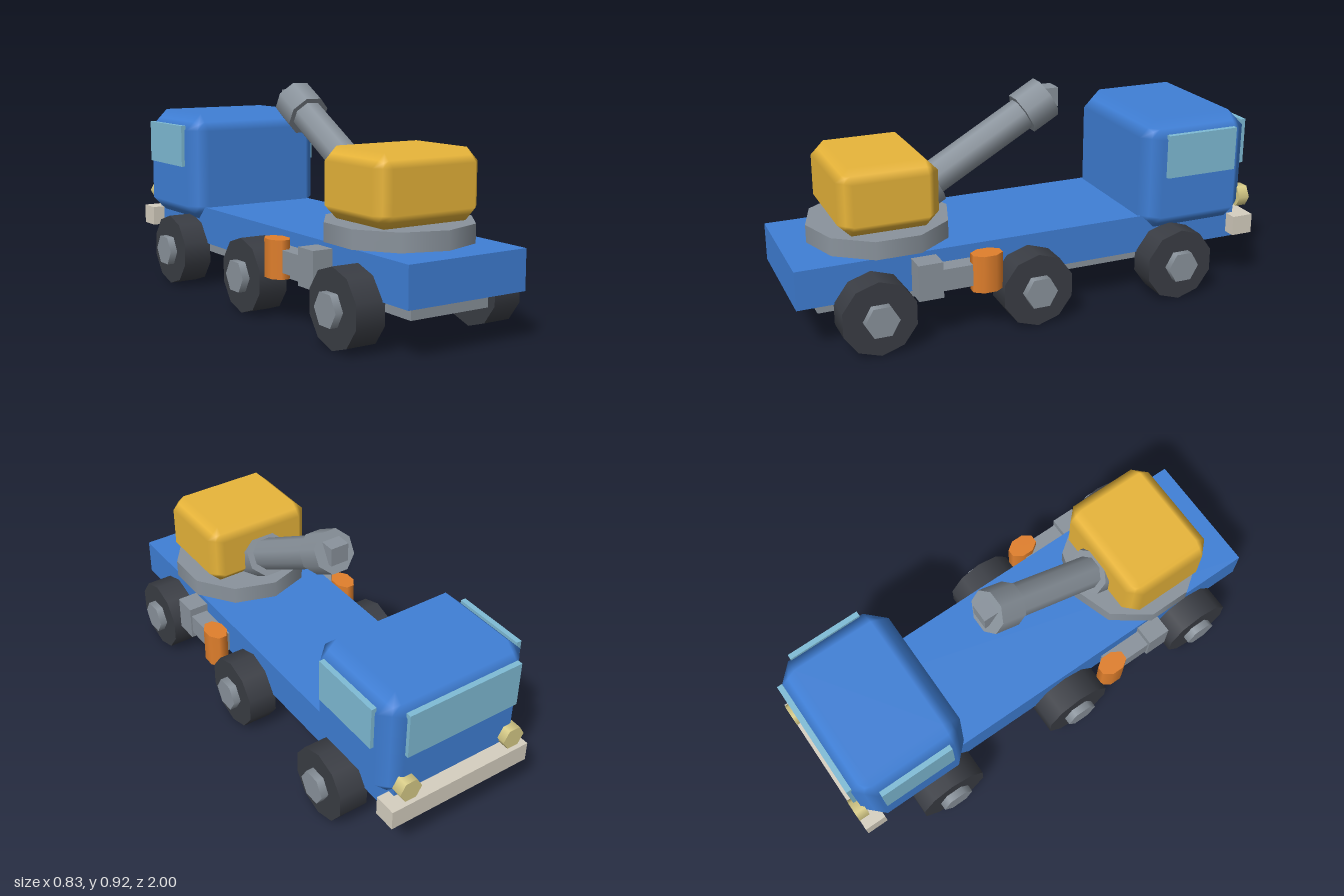
import * as THREE from 'three';

const mat = (color) => new THREE.MeshStandardMaterial({ color });
const BLUE = mat(0x3f7fd6), YELLOW = mat(0xe8b53a), METAL = mat(0x8a939c), TYRE = mat(0x3a3d44);
const GLASS = mat(0x7fbcd6), ORANGE = mat(0xe07f2c), CREAM = mat(0xd6cfc0), LAMP = mat(0xd8cc88);

function add(parent, name, geometry, material, x = 0, y = 0, z = 0) {
  const mesh = new THREE.Mesh(geometry, material);
  mesh.name = name;
  mesh.position.set(x, y, z);
  parent.add(mesh);
  return mesh;
}

// Box given by its lower and upper limits on each axis
function block(parent, name, material, [x0, x1], [y0, y1], [z0, z1]) {
  return add(parent, name, new THREE.BoxGeometry(x1 - x0, y1 - y0, z1 - z0), material,
    (x0 + x1) / 2, (y0 + y1) / 2, (z0 + z1) / 2);
}

const prism = (r, h, sides, start = 0) => new THREE.CylinderGeometry(r, r, h, sides, 1, false, start);

// Box with single, smoothly shaded chamfers of width c
function chamferBox(w, h, d, c) {
  const g = new THREE.BoxGeometry(w, h, d, 3, 3, 3);
  const half = [w / 2, h / 2, d / 2];
  const p = g.attributes.position, n = g.attributes.normal;
  for (let i = 0; i < p.count; i++) {
    const v = [p.getX(i), p.getY(i), p.getZ(i)];
    const outer = v.map((a, k) => Math.abs(a) > half[k] - 1e-4);
    const count = outer.filter(Boolean).length;
    const s = v.map(Math.sign);
    p.setXYZ(i, ...s.map((a, k) => a * (half[k] - (outer[k] ? c * (count - 1) / count : c))));
    n.setXYZ(i, ...s.map((a, k) => (outer[k] ? a / Math.sqrt(count) : 0)));
  }
  return g;
}

export function createModel() {
  const truck = new THREE.Group();
  truck.name = 'craneTruck';

  // Chassis and deck
  block(truck, 'chassisRail', METAL, [-0.18, 0.18], [0.125, 0.2], [-0.81, 0.9]);
  block(truck, 'deck', BLUE, [-0.27, 0.27], [0.195, 0.355], [-0.935, 1]);

  // Cab with windows, bumper and lamps
  add(truck, 'cab', chamferBox(0.66, 0.49, 0.5, 0.075), BLUE, 0, 0.527, -0.714);
  block(truck, 'windscreen', GLASS, [-0.255, 0.255], [0.525, 0.72], [-0.98, -0.957]);
  block(truck, 'bumper', CREAM, [-0.325, 0.325], [0.22, 0.305], [-1, -0.905]);

  // Turntable and operator housing
  add(truck, 'turntable', prism(0.297, 0.075, 10), METAL, 0, 0.3925, 0.591);
  add(truck, 'housing', chamferBox(0.49, 0.278, 0.412, 0.054), YELLOW, 0, 0.569, 0.6);

  // Boom, built upright and then tilted forward over the deck
  const boom = new THREE.Group();
  boom.name = 'boom';
  boom.position.set(0, 0.55, 0.355);
  boom.rotation.x = -Math.PI / 3;
  truck.add(boom);
  const flat = Math.PI / 8;
  add(boom, 'boomCollar', prism(0.1, 0.15, 8, flat), METAL, 0, -0.075, 0);
  add(boom, 'boomTube', prism(0.07, 0.5, 8, flat), METAL, 0, 0.25, 0);
  add(boom, 'boomHead', prism(0.092, 0.125, 8, flat), METAL, 0, 0.525, 0);
  block(truck, 'boomTip', METAL, [-0.04, 0.04], [0.808, 0.888], [-0.192, -0.11]);

  // Parts repeated on both sides
  const tyre = prism(0.155, 0.126, 10, Math.PI / 2).rotateZ(Math.PI / 2);
  const hub = prism(0.07, 0.15, 6).rotateZ(Math.PI / 2);
  const lamp = prism(0.05, 0.048, 6, Math.PI / 2).rotateX(Math.PI / 2);
  const canister = prism(0.0675, 0.155, 8, flat).scale(0.69, 1, 1);
  for (const s of [1, -1]) {
    const side = s > 0 ? 'left' : 'right';
    const span = (a, b) => (s > 0 ? [a, b] : [-b, -a]);

    ['rear', 'middle', 'front'].forEach((row, i) => {
      const z = [0.705, 0.045, -0.61][i];
      const wheel = new THREE.Group();
      wheel.name = `${side}${row}Wheel`;
      wheel.position.set(s * 0.32, 0.155, z);
      truck.add(wheel);
      add(wheel, 'tyre', tyre, TYRE);
      add(wheel, 'hub', hub, METAL, s * 0.02);
    });

    block(truck, `${side}Window`, GLASS, span(0.323, 0.345), [0.535, 0.718], [-0.877, -0.556]);
    add(truck, `${side}Headlamp`, lamp, LAMP, s * 0.245, 0.374, -0.976);

    // Outrigger bracket, arm and jack
    block(truck, `${side}Bracket`, METAL, span(0.265, 0.357), [0.185, 0.335], [0.438, 0.54]);
    block(truck, `${side}Arm`, METAL, span(0.275, 0.35), [0.21, 0.3], [0.24, 0.44]);
    add(truck, `${side}Jack`, canister, ORANGE, s * 0.336, 0.26, 0.251);
  }
  return truck;
}
